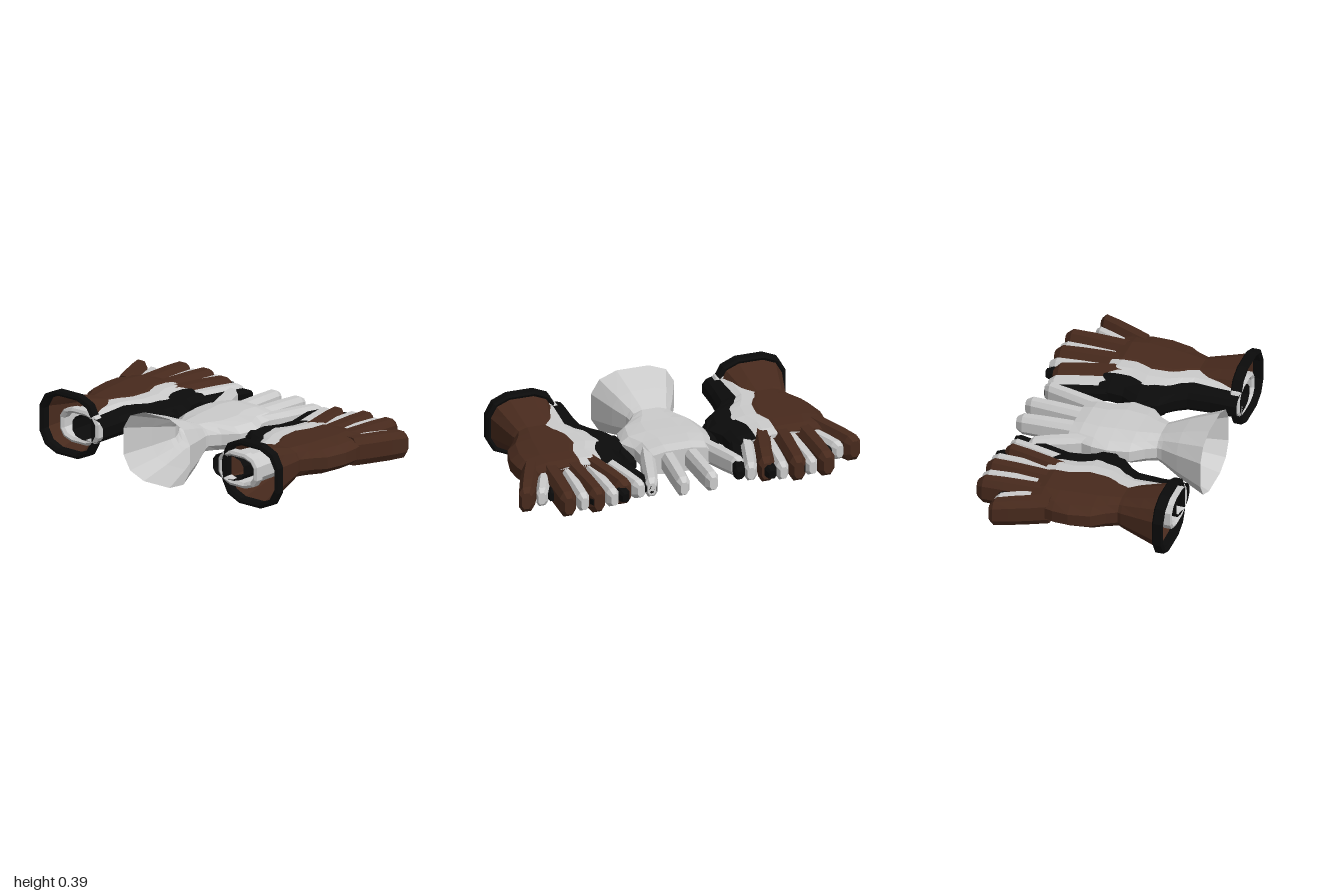
import * as THREE from 'three';

const GREY = 0xcccccc, BROWN = 0x482a1d, BLACK = 0x0b0b0b;

// Rounded-box tube through rings [x, y, z, halfHeight, halfWidth]; s = -1 mirrors in z
function loft(name, rings, color, s, z0, sides, capStart, capEnd) {
  const pos = [], idx = [];
  const soft = v => Math.sign(v) * Math.pow(Math.abs(v), 0.72);
  for (const [x, y, z, h, w] of rings) {
    for (let j = 0; j < sides; j++) {
      const a = ((j + 0.5) / sides) * Math.PI * 2;
      pos.push(x, y + h * soft(Math.sin(a)), s * (z0 + z + w * soft(Math.cos(a))));
    }
  }
  const tri = (a, b, c) => (s > 0 ? idx.push(a, b, c) : idx.push(a, c, b));
  for (let i = 0; i < rings.length - 1; i++) {
    for (let j = 0; j < sides; j++) {
      const k = (j + 1) % sides, a = i * sides, b = a + sides;
      tri(a + j, b + j, a + k);
      tri(a + k, b + j, b + k);
    }
  }
  const last = (rings.length - 1) * sides;
  for (let j = 1; j < sides - 1; j++) {
    if (capStart) tri(0, j, j + 1);
    if (capEnd) tri(last, last + j + 1, last + j);
  }
  const geo = new THREE.BufferGeometry();
  geo.setAttribute('position', new THREE.Float32BufferAttribute(pos, 3));
  geo.setIndex(idx);
  geo.computeVertexNormals();
  const mesh = new THREE.Mesh(geo, new THREE.MeshStandardMaterial({
    color, flatShading: true, side: THREE.DoubleSide,
  }));
  mesh.name = name;
  return mesh;
}

// Finger base z, tip x, tip z, measured from the middle of the hand
const FINGERS = {
  littleFinger: [-0.155, 0.405, -0.285],
  ringFinger: [-0.065, 0.54, -0.085],
  middleFinger: [0.055, 0.545, 0.085],
  indexFinger: [0.15, 0.495, 0.255],
};

function glove(name, o, s) {
  const g = new THREE.Group();
  g.name = name;
  const Y = 0.205, h = o.height;
  const add = (part, rings, color, n, c0, c1) => g.add(loft(part, rings, color, s, o.z, n, c0, c1));

  // Open cuff, wrist and palm; the thumb side bulges outwards
  add('cuffAndPalm', [
    ...o.cuff,
    [-0.27, Y, 0, h, 0.122],
    [-0.21, Y, 0.005, h, 0.16],
    [-0.14, Y, 0.015, h, 0.225],
    [-0.02, Y + 0.002, 0.015, h, 0.252],
    [0.07, Y + 0.003, -0.008, h, 0.222],
    [0.16, Y + 0.002, 0, h * 0.98, 0.205],
    [0.22, Y, 0, h * 0.85, 0.195],
  ], o.color, 12, false, true);

  // Four spread fingers with blunt, bevelled tips
  for (const [part, [bz, tx, tz]] of Object.entries(FINGERS)) {
    const at = (t, fh, fw) => [0.1 + (tx - 0.1) * t, Y, bz + (tz - bz) * t, fh, fw];
    const fh = o.fingerHeight, fw = o.fingerWidth;
    add(part, [
      at(0, fh, fw * 0.95), at(0.3, fh, fw * 1.05), at(0.65, fh, fw),
      at(0.92, fh * 0.95, fw * 0.92), at(1, fh * 0.6, fw * 0.55),
    ], o.color, 8, true, true);
  }

  // Thumb curling forwards beneath the palm
  const d = o.thumbLift;
  add('thumb', [
    [-0.16, 0.185, 0.14, 0.05, 0.05],
    [-0.09, 0.162 + d, 0.21, 0.065, 0.06],
    [0, 0.143 + d, 0.25, 0.055, 0.052],
    [0.065, 0.122 + d, 0.272, 0.04, 0.042],
    [0.09, 0.118 + d, 0.28, 0.022, 0.024],
  ], o.color, 8, true, true);

  // Trim band around the cuff opening
  if (o.trim) {
    const { h: th, w: tw, color } = o.trim;
    const r = (x, k) => [x, o.cuff[0][1], 0, th + k, tw + k];
    add('cuffTrim', [
      r(-0.5, -0.03), r(-0.54, -0.03), r(-0.553, -0.015), r(-0.545, 0),
      r(-0.5, 0), r(-0.49, -0.012), r(-0.5, -0.03),
    ], color, 12, false, false);
  }
  return g;
}

export function createModel() {
  const model = new THREE.Group();
  model.name = 'gloves';

  // Single glove in the middle with a widely flared cuff
  model.add(glove('middleGlove', {
    color: GREY, z: 0, height: 0.082, fingerHeight: 0.063, fingerWidth: 0.042, thumbLift: 0,
    cuff: [[-0.56, 0.197, 0, 0.201, 0.245], [-0.4, 0.2, 0, 0.142, 0.178], [-0.3, 0.204, 0, 0.096, 0.13]],
  }, 1));

  // Three overlapping gloves on each side, mirrored
  for (const s of [1, -1]) {
    const side = s > 0 ? 'back' : 'front';
    model.add(glove(side + 'OuterGlove', {
      color: BROWN, z: -0.658, height: 0.087, fingerHeight: 0.083, fingerWidth: 0.053, thumbLift: 0.035,
      cuff: [[-0.53, 0.197, 0, 0.165, 0.19], [-0.4, 0.2, 0, 0.126, 0.157], [-0.29, 0.204, 0, 0.093, 0.13]],
      trim: { h: 0.184, w: 0.205, color: BLACK },
    }, s));
    model.add(glove(side + 'MiddleLayerGlove', {
      color: GREY, z: -0.57, height: 0.083, fingerHeight: 0.06, fingerWidth: 0.04, thumbLift: 0,
      cuff: [[-0.54, 0.205, 0, 0.085, 0.128], [-0.4, 0.205, 0, 0.083, 0.125]],
      trim: { h: 0.1, w: 0.142, color: GREY },
    }, s));
    model.add(glove(side + 'InnerGlove', {
      color: BLACK, z: -0.505, height: 0.072, fingerHeight: 0.04, fingerWidth: 0.038, thumbLift: 0.03,
      cuff: [[-0.55, 0.205, 0, 0.07, 0.112], [-0.4, 0.205, 0, 0.07, 0.112]],
    }, s));
  }
  return model;
}
